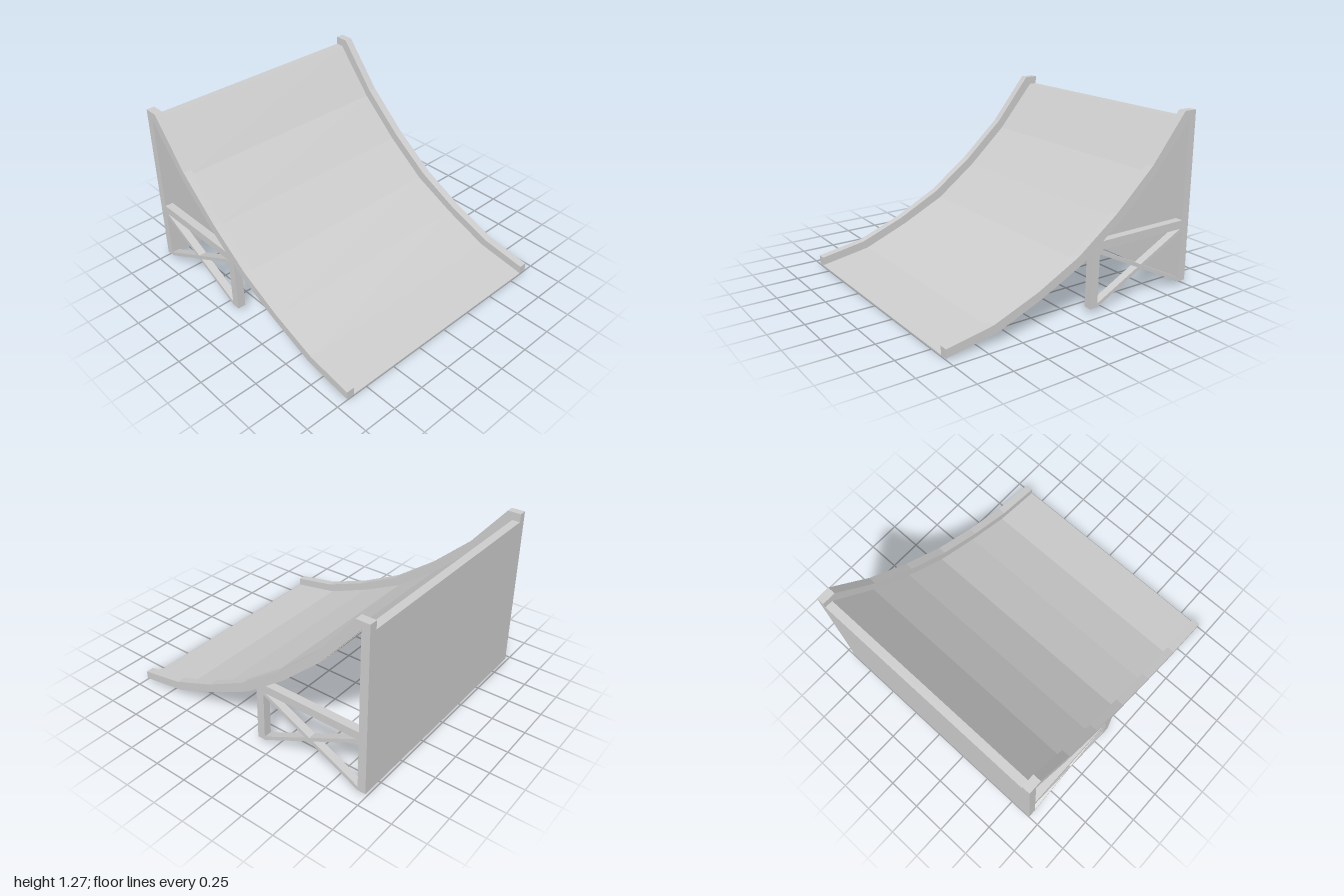
import * as THREE from 'three';

const material = new THREE.MeshStandardMaterial({ color: 0xcccccc });
const HALF = 0.86;   // half width between the side frames
const THICK = 0.06;  // timber thickness

// Extrudes a [z, y] outline along x, centred on x = cx
function slab(name, outline, width, cx = 0) {
  const shape = new THREE.Shape(outline.map(([z, y]) => new THREE.Vector2(z, y)));
  const geometry = new THREE.ExtrudeGeometry(shape, { depth: width, bevelEnabled: false });
  geometry.translate(0, 0, -width / 2).rotateY(-Math.PI / 2);
  const mesh = new THREE.Mesh(geometry, material);
  mesh.name = name;
  mesh.position.x = cx;
  return mesh;
}

// Outline of a straight bar between two [z, y] points
function bar([z0, y0], [z1, y1], t) {
  const l = Math.hypot(z1 - z0, y1 - y0);
  const nz = -(y1 - y0) / l * t / 2, ny = (z1 - z0) / l * t / 2;
  return [[z0 + nz, y0 + ny], [z1 + nz, y1 + ny], [z1 - nz, y1 - ny], [z0 - nz, y0 - ny]];
}

export function createModel() {
  const model = new THREE.Group();
  model.name = 'ramp';

  // Curve of the ramp: top and underside of the side rails
  const top = [[1, 0.07], [0.66, 0.13], [0.325, 0.26], [0, 0.425], [-0.315, 0.655], [-0.62, 0.93], [-0.9, 1.27]];
  const under = [[1, 0.01], [0.63, 0.073], [0.29, 0.21], [-0.04, 0.37], [-0.35, 0.6], [-0.65, 0.87], [-0.94, 1.21]];

  // Thin riding surface flush with the underside of the rails
  const sheet = under.map(([z, y], i) => [z + (i ? 0.003 : 0), y - 0.01]);
  model.add(slab('deck', [...under, ...sheet.reverse()], 2 * HALF));

  // Solid panel closing the back
  model.add(slab('backPanel', [[-1, 0.03], [-0.94, 0.03], [-0.94, 1.21], [-1, 1.21]], 2 * HALF));

  // Side frames
  for (const side of [1, -1]) {
    const frame = new THREE.Group();
    frame.name = side > 0 ? 'leftFrame' : 'rightFrame';
    const x = side * (HALF + THICK / 2);
    const add = (name, outline, width = THICK) => frame.add(slab(name, outline, width, x));

    add('rail', [...top, [-0.94, 1.27], ...[...under].reverse()]);
    add('backPost', [[-1, 0.03], [-0.94, 0.03], [-0.94, 1.27], [-1, 1.27]]);
    add('frontLeg', [[-0.113, 0.03], [-0.12, 0.45], [-0.18, 0.45], [-0.172, 0.03]]);
    add('crossBeam', [[-0.13, 0.43], [-0.94, 0.43], [-0.94, 0.49], [-0.19, 0.49], [-0.13, 0.46]]);
    // Crossed diagonal braces
    add('risingBrace', bar([-0.168, 0.04], [-0.945, 0.425], 0.026), THICK - 0.002);
    add('fallingBrace', bar([-0.168, 0.425], [-0.945, 0.04], 0.026), THICK - 0.002);
    model.add(frame);
  }
  return model;
}
